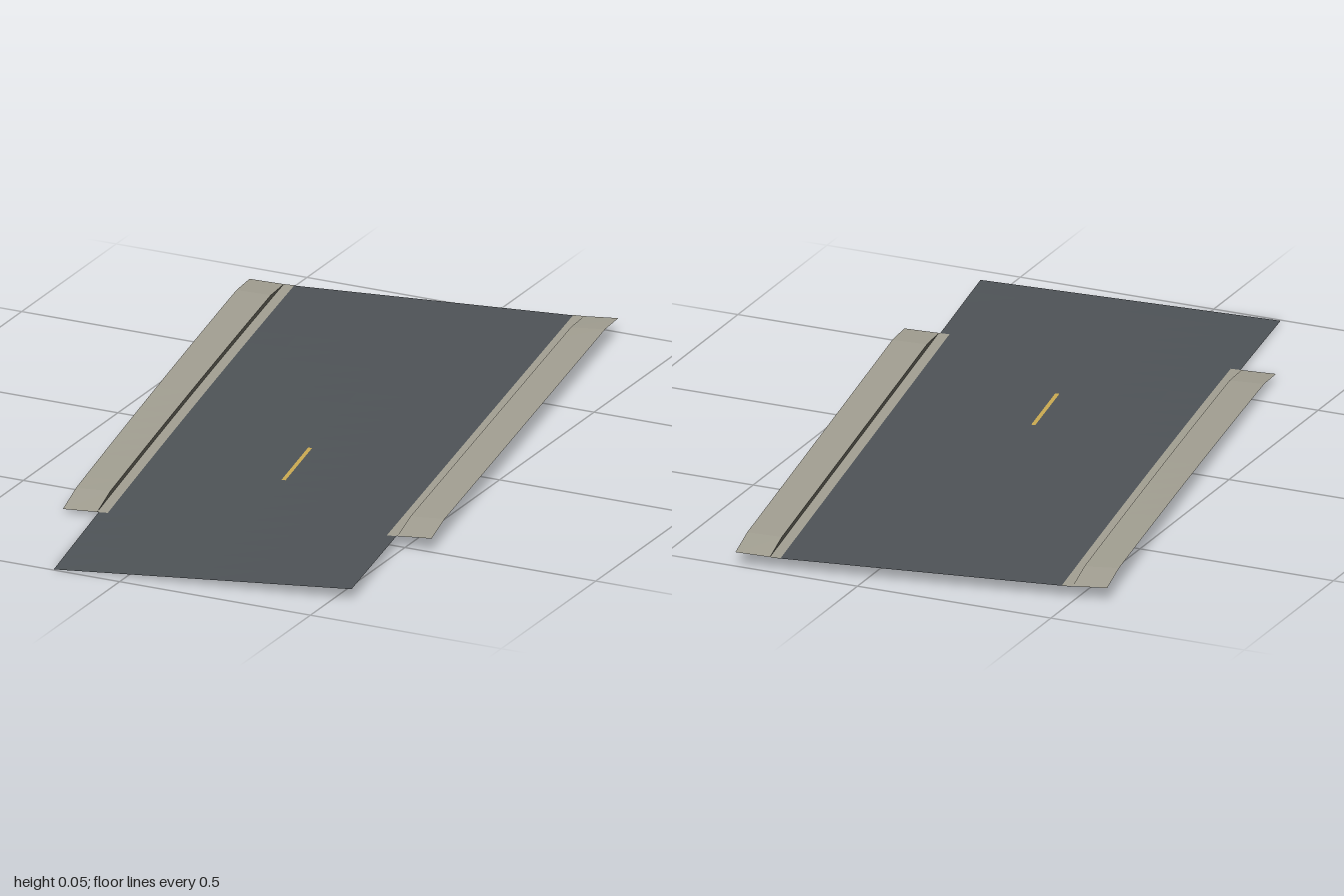
import * as THREE from 'three';

const HALF_LENGTH = 0.943, HALF_WIDTH = 0.365;

// Road surface height: level at the back, one front corner sinking to the ground
function ground(u, v) {
  const t = (v + HALF_LENGTH) / (2 * HALF_LENGTH);
  return 0.03 - 0.03 * t * t * (0.5 - u / (2 * HALF_WIDTH));
}

const range = (a, b, n) => Array.from({ length: n + 1 }, (_, i) => a + ((b - a) * i) / n);

// Flat-shaded strip lofted over columns (each a function v -> [x, y]) and rows v
function sheet(name, columns, rows, color) {
  const positions = [], index = [], n = columns.length;
  rows.forEach((v, j) => {
    columns.forEach((column, i) => {
      const [x, y] = column(v);
      positions.push(x, y, v);
      if (i && j) {
        const d = j * n + i, c = d - 1, b = d - n, a = b - 1;
        index.push(a, c, b, b, c, d);
      }
    });
  });
  const geometry = new THREE.BufferGeometry();
  geometry.setAttribute('position', new THREE.Float32BufferAttribute(positions, 3));
  geometry.setIndex(index);
  geometry.computeVertexNormals();
  const material = new THREE.MeshStandardMaterial({ color, flatShading: true, side: THREE.DoubleSide });
  const mesh = new THREE.Mesh(geometry, material);
  mesh.name = name;
  return mesh;
}

// Gutter, curb face and pavement on one side (side = +1 or -1)
function sidewalk(side) {
  const group = new THREE.Group();
  group.name = side > 0 ? 'leftSidewalk' : 'rightSidewalk';
  const start = -HALF_LENGTH, end = 0.579, ramp = 0.107;
  const rows = [start, ...range(start + ramp, end - ramp, 18), end];

  // The curb drops to road level at both ends
  const curb = (v) => 0.011 * THREE.MathUtils.clamp(Math.min(v - start, end - v) / ramp, 0, 1);
  const column = (u, raised, rise = 0) => (v) => {
    const back = (HALF_LENGTH - v) / (2 * HALF_LENGTH);
    return [side * u, ground(side * u, v) + 0.001 + (raised ? curb(v) : 0) + rise * back];
  };
  const add = (name, columns, color) =>
    group.add(sheet(name, side > 0 ? columns : columns.reverse(), rows, color));

  add('gutter', [column(0.342, false), column(0.368, false)], 0xa09d90);
  add('curbFace', [column(0.368, false), column(0.368, true)], 0x55544b);
  add('pavement', [column(0.368, true), column(0.452, true, 0.004)], 0xa09d90);
  return group;
}

export function createModel() {
  const model = new THREE.Group();
  model.name = 'roadSection';

  // The whole street runs at a slight angle
  const street = new THREE.Group();
  street.name = 'street';
  street.rotation.y = 0.168;
  street.position.set(0.0275, 0, 0.005);
  model.add(street);

  // Asphalt and centre dash share the same height rule
  const across = (us, lift) => us.map((u) => (v) => [u, ground(u, v) + lift]);
  street.add(sheet('roadway', across(range(-HALF_WIDTH, HALF_WIDTH, 6), 0),
    range(-HALF_LENGTH, HALF_LENGTH, 24), 0x4d5256));
  street.add(sheet('centreDash', across([-0.005, 0.005], 0.001), range(0.066, 0.284, 4), 0xc8a850));

  for (const side of [-1, 1]) street.add(sidewalk(side));
  return model;
}
